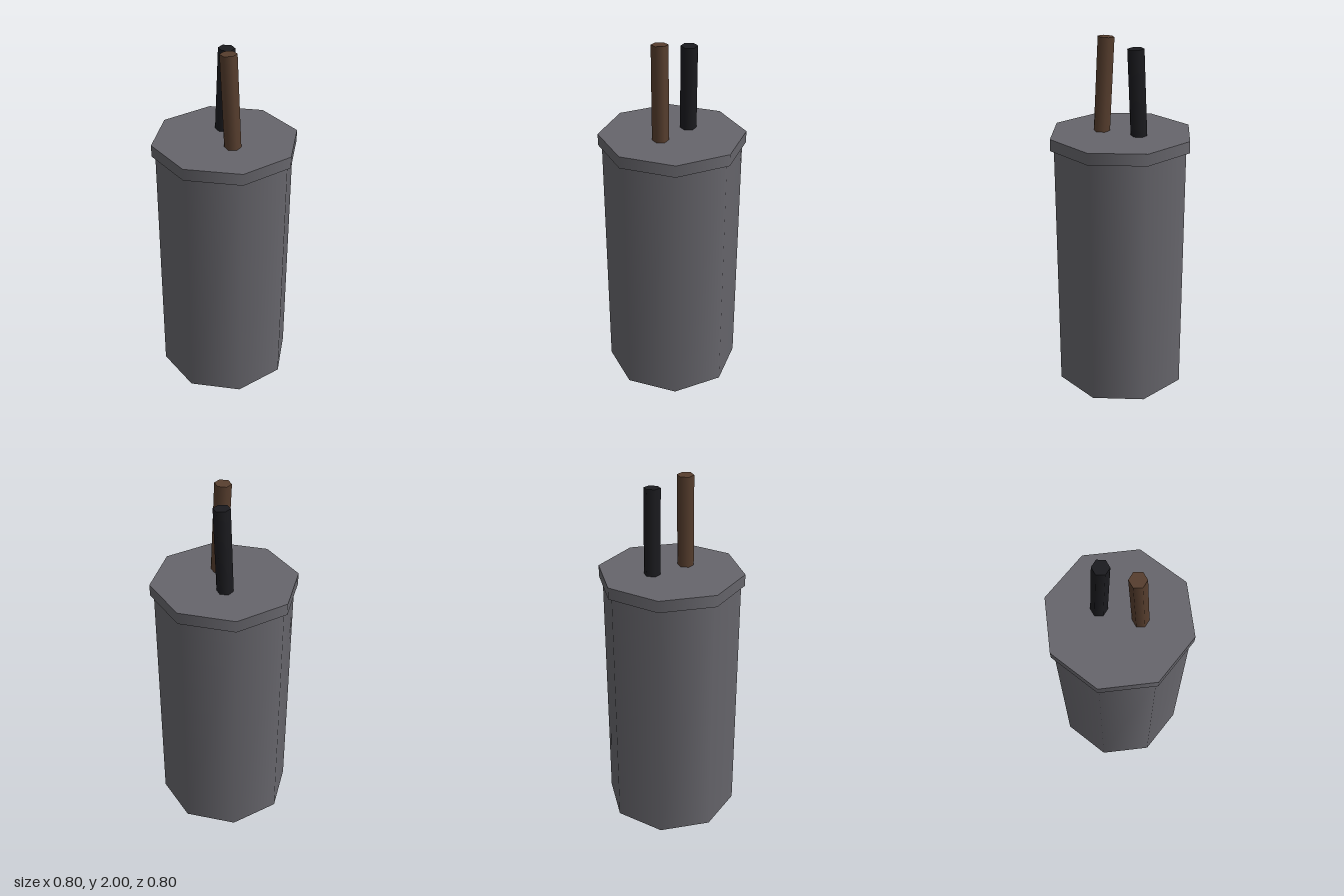
import * as THREE from 'three';

// Upright prism with smooth sides and flat caps, spanning y0..y1
function prism(name, radius, y0, y1, sides, color) {
  const geometry = new THREE.CylinderGeometry(radius, radius, y1 - y0, sides);
  const mesh = new THREE.Mesh(geometry, new THREE.MeshStandardMaterial({ color }));
  mesh.name = name;
  mesh.position.y = (y0 + y1) / 2;
  return mesh;
}

// Hexagonal lead leaning in x, from its foot just inside the lid to its tip
function lead(name, footX, tipX, tipY, z, color) {
  const foot = new THREE.Vector3(footX, 1.47, z);
  const tip = new THREE.Vector3(tipX, tipY, z);
  const mesh = prism(name, 0.045, 0, foot.distanceTo(tip), 6, color);
  mesh.position.addVectors(foot, tip).multiplyScalar(0.5);
  mesh.rotation.z = Math.atan2(footX - tipX, tipY - foot.y);
  return mesh;
}

export function createModel() {
  const model = new THREE.Group();
  model.name = 'canisterWithLeads';
  const grey = 0x66656b;

  // Octagonal can and its overhanging lid
  model.add(prism('body', 0.38, 0, 1.44, 8, grey));
  model.add(prism('lid', 0.4, 1.425, 1.49, 8, grey));

  // Two wire leads leaning towards each other
  model.add(lead('brownLead', 0.089, 0.06, 1.998, 0.066, 0x573e2e));
  model.add(lead('blackLead', -0.07, -0.048, 1.955, -0.09, 0x1b1b1f));
  return model;
}
